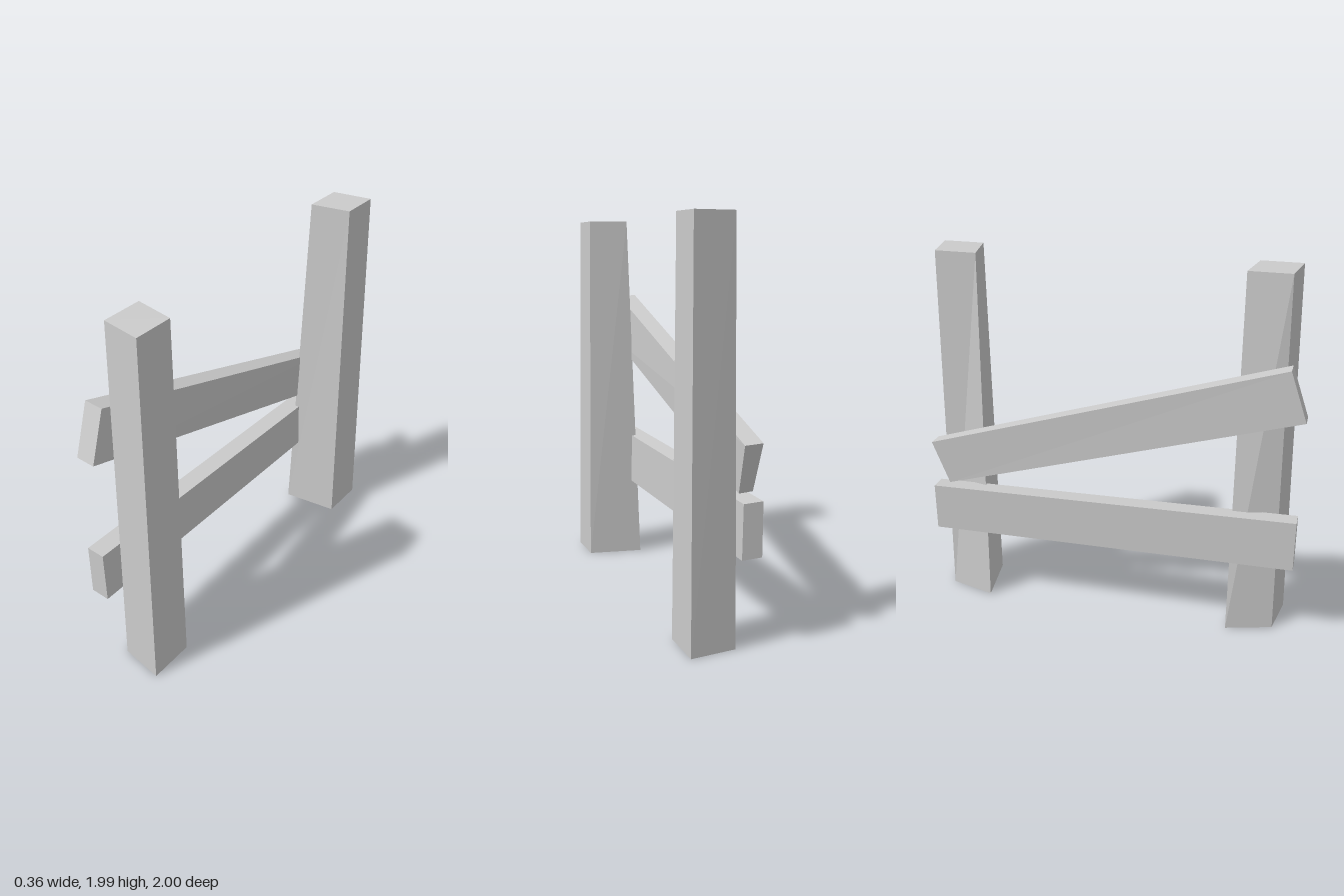
import * as THREE from 'three';

const material = new THREE.MeshStandardMaterial({ color: 0xcccccc, flatShading: true });

// Six-sided block whose corners are placed by corner(right, top, front)
function block(name, corner) {
  const geo = new THREE.BoxGeometry(1, 1, 1);
  const p = geo.attributes.position;
  for (let i = 0; i < p.count; i++) {
    p.setXYZ(i, ...corner(p.getX(i) > 0, p.getY(i) > 0, p.getZ(i) > 0));
  }
  geo.computeVertexNormals();
  const mesh = new THREE.Mesh(geo, material);
  mesh.name = name;
  return mesh;
}

// Tapered, skewed post; the back post mirrors the front one
function post(name, isFront) {
  return block(name, (right, top, front) => {
    const outer = front === isFront;
    let x, z;
    if (right) {
      x = top ? 0.16 : 0.175;
      z = outer ? (top ? 0.91 : 0.945) : 0.695;
    } else {
      x = top ? -0.05 : (outer ? -0.06 : -0.13);
      z = outer ? (top ? 0.877 : 0.905) : 0.657;
    }
    return [x, top ? 1.985 : 0, isFront ? z : -0.055 - z];
  });
}

// Plank; each end lists [z, y, xLeft, xRight] for its top and bottom edge
function rail(name, ends) {
  return block(name, (right, top, front) => {
    const [z, y, x0, x1] = ends[front ? 'front' : 'back'][top ? 0 : 1];
    return [right ? x1 : x0, right ? y - 0.006 : y, z];
  });
}

export function createModel() {
  const group = new THREE.Group();
  group.name = 'brokenFence';

  group.add(post('frontPost', true), post('backPost', false));

  // Slanted upper rail, cut square to its own length
  group.add(rail('upperRail', {
    front: [[0.91, 1.55, -0.18, -0.08], [1.0, 1.285, -0.175, -0.075]],
    back: [[-0.98, 0.96, -0.175, -0.085], [-0.895, 0.722, -0.165, -0.095]],
  }));

  // Nearly level lower rail
  group.add(rail('lowerRail', {
    front: [[0.995, 0.73, -0.177, -0.08], [0.995, 0.45, -0.175, -0.075]],
    back: [[-0.985, 0.695, -0.177, -0.08], [-0.985, 0.433, -0.175, -0.075]],
  }));

  return group;
}
